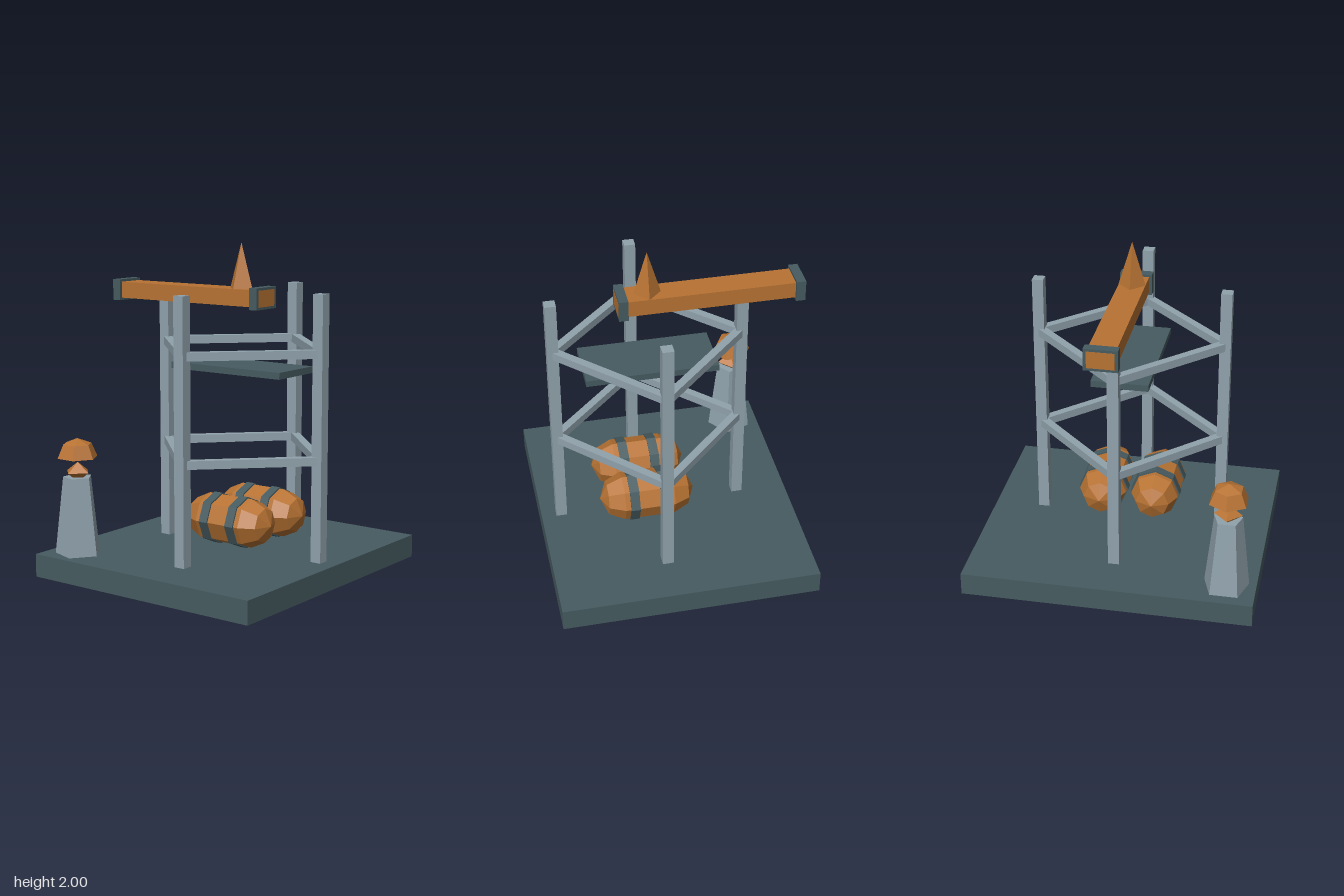
import * as THREE from 'three';

const mat = (name, color) => {
  const m = new THREE.MeshStandardMaterial({ color, flatShading: true });
  m.name = name;
  return m;
};

export function createModel() {
  const root = new THREE.Group();
  root.name = 'tower';
  const slate = mat('dark slate', 0x465b60);
  const copper = mat('copper', 0xb87333);
  const steel = mat('pale steel', 0x90a2ac);

  const add = (name, geo, material, x, y, z, parent = root) => {
    const m = new THREE.Mesh(geo, material);
    m.name = name;
    m.position.set(x, y, z);
    parent.add(m);
    return m;
  };
  const box = (w, h, d) => new THREE.BoxGeometry(w, h, d);

  add('base', box(1.764, 0.14, 1.58), slate, 0, 0.07, 0.022);

  // Four posts in a diamond, joined by two levels of rails
  const cz = 0.116, R = 0.57;
  for (let i = 0; i < 4; i++) {
    const a = i * Math.PI / 2;
    add('post', box(0.068, 1.585, 0.068), steel, R * Math.sin(a), 0.9325, cz + R * Math.cos(a));
    const b = a + Math.PI / 4, r = R * Math.SQRT1_2;
    for (const y of [0.747, 1.377]) {
      const rail = add('rail', box(0.79, 0.05, 0.05), steel, r * Math.sin(b), y, cz + r * Math.cos(b));
      rail.rotation.y = b;
    }
  }

  add('platform', box(0.346, 0.04, 0.8), slate, 0, 1.252, cz);

  // Overhanging beam with end collars and a spike on top
  add('beam', box(0.16, 0.1, 1.113), copper, 0, 1.677, -0.2565);
  for (const z of [0.271, -0.784]) add('beamCollar', box(0.195, 0.13, 0.056), slate, 0, 1.677, z);
  add('spike', new THREE.ConeGeometry(0.082, 0.275, 4), copper, 0, 1.8625, cz);

  // Two faceted tanks with straps
  const profile = [[0, -0.295], [0.104, -0.251], [0.148, -0.155], [0.148, 0.155], [0.104, 0.251], [0, 0.295]]
    .map(([x, y]) => new THREE.Vector2(x, y));
  for (const side of [-1, 1]) {
    const tank = new THREE.Group();
    tank.name = 'tank';
    tank.position.set(side * 0.165, 0.35, 0.163);
    tank.rotation.x = Math.PI / 2;
    root.add(tank);
    add('tankBody', new THREE.LatheGeometry(profile, 8), copper, 0, 0, 0, tank);
    for (const y of [-0.095, 0.095])
      add('tankStrap', new THREE.CylinderGeometry(0.157, 0.157, 0.058, 8), slate, 0, y, 0, tank);
  }

  // Five-sided pedestal with a small gem and a floating dome
  const px = -0.7, pz = -0.582;
  add('pedestal', new THREE.CylinderGeometry(0.089, 0.142, 0.47, 5), steel, px, 0.375, pz);
  add('pedestalGem', new THREE.OctahedronGeometry(0.085), copper, px, 0.64, pz).scale.y = 0.71;
  const dome = [[0, 0], [0.124, 0], [0.088, 0.083], [0, 0.117]].map(([x, y]) => new THREE.Vector2(x, y));
  add('pedestalDome', new THREE.LatheGeometry(dome, 6), copper, px, 0.728, pz);

  return root;
}
